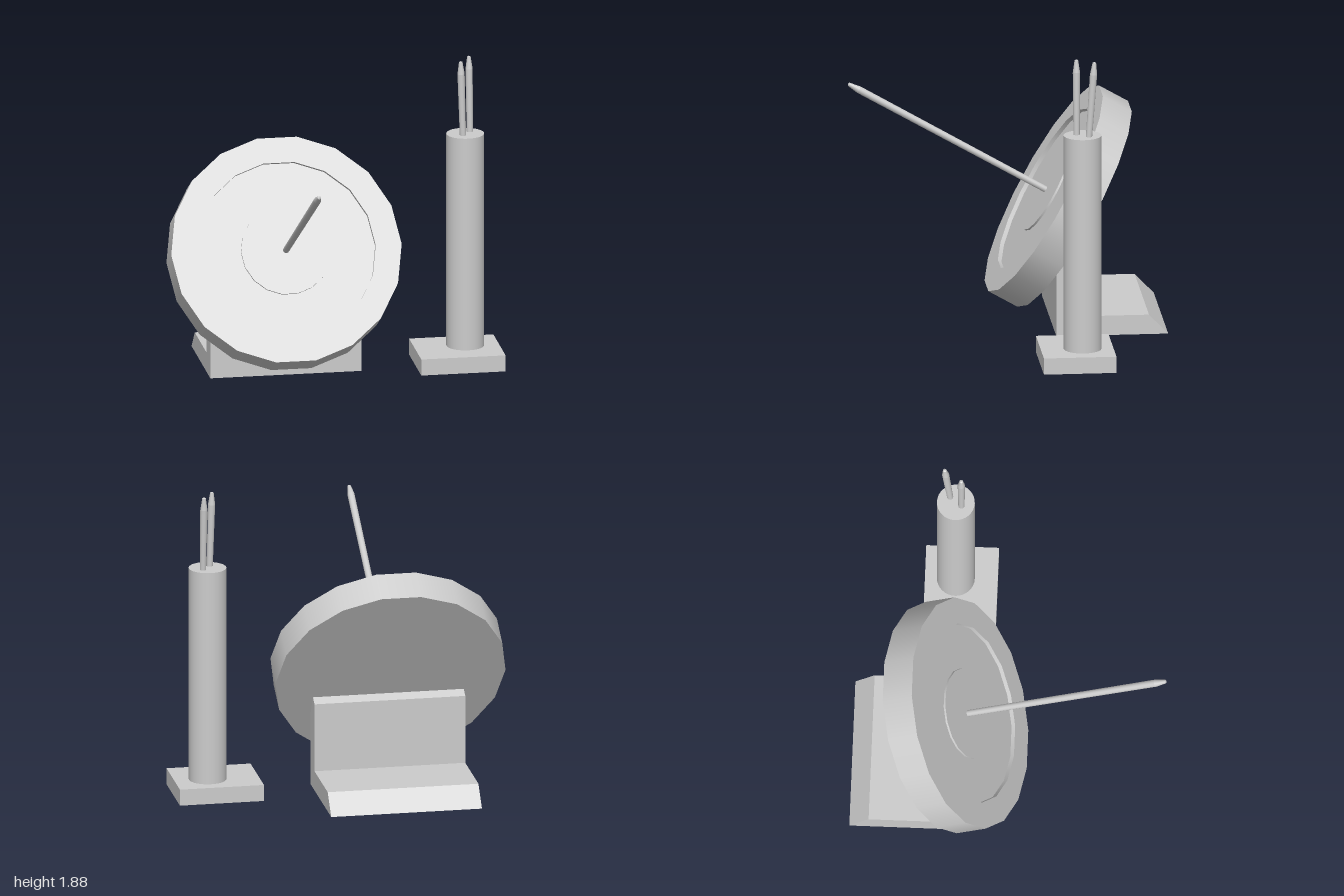
import * as THREE from 'three';
import { mergeGeometries } from 'three/addons/utils/BufferGeometryUtils.js';

const material = new THREE.MeshStandardMaterial({ color: 0xcccccc });

function addMesh(parent, name, geometry) {
  const mesh = new THREE.Mesh(geometry, material);
  mesh.name = name;
  parent.add(mesh);
  return mesh;
}

// Turned solid: smooth around the axis, sharp between profile segments
function turned(profile, sides) {
  const parts = [];
  for (let i = 1; i < profile.length; i++) {
    const pair = [profile[i - 1], profile[i]].map(([r, y]) => new THREE.Vector2(r, y));
    parts.push(new THREE.LatheGeometry(pair, sides, Math.PI / 2));
  }
  return mergeGeometries(parts);
}

// Slim shaft from one point to another, widening slightly and ending in a blunt taper
function addArrow(parent, name, from, to, taper) {
  const start = new THREE.Vector3(...from);
  const dir = new THREE.Vector3(...to).sub(start);
  const len = dir.length();
  const arrow = addMesh(parent, name, turned([
    [0, 0], [0.019, 0], [0.022, len - taper], [0.011, len - 0.006], [0, len],
  ], 12));
  arrow.position.copy(start);
  arrow.quaternion.setFromUnitVectors(new THREE.Vector3(0, 1, 0), dir.normalize());
}

export function createModel() {
  const model = new THREE.Group();
  model.name = 'archeryTarget';

  // Tilted 18-sided board with a recessed ring and a raised centre
  const board = addMesh(model, 'targetBoard', turned([
    [0, -0.2], [0.697, -0.2], [0.697, 0], [0.54, 0],
    [0.54, -0.025], [0.272, -0.025], [0.272, -0.013], [0, -0.013],
  ], 18));
  board.position.set(-0.305, 0.79, -0.2375);
  board.rotation.x = Math.PI / 3;

  // Arrow standing square to the board
  addArrow(model, 'shotArrow', [-0.305, 0.775, -0.264], [-0.305, 1.468, 0.936], 0.075);

  // L-shaped bracket, its upright cut to meet the back of the board
  const side = new THREE.Shape([
    [0.27, 0], [0.94, 0], [0.825, 0.12], [0.4, 0.12],
    [0.4, 0.538], [0.35, 0.567], [0.27, 0.44],
  ].map(([back, y]) => new THREE.Vector2(back, y)));
  const stand = addMesh(model, 'boardStand',
    new THREE.ExtrudeGeometry(side, { depth: 0.915, bevelEnabled: false }));
  stand.rotation.y = Math.PI / 2;
  stand.position.x = -0.76;

  // Arrow holder: post on a square foot
  const holder = new THREE.Group();
  holder.name = 'arrowHolder';
  model.add(holder);
  addMesh(holder, 'foot', new THREE.BoxGeometry(0.51, 0.1, 0.435))
    .position.set(0.745, 0.05, -0.333);
  addMesh(holder, 'post', new THREE.CylinderGeometry(0.113, 0.113, 1.32, 32))
    .position.set(0.798, 0.76, -0.366);

  // Spare arrows leaning in the holder
  addArrow(holder, 'spareArrow1', [0.779, 1.4, -0.332], [0.765, 1.882, -0.332], 0.08);
  addArrow(holder, 'spareArrow2', [0.832, 1.4, -0.4], [0.832, 1.882, -0.434], 0.08);

  return model;
}
